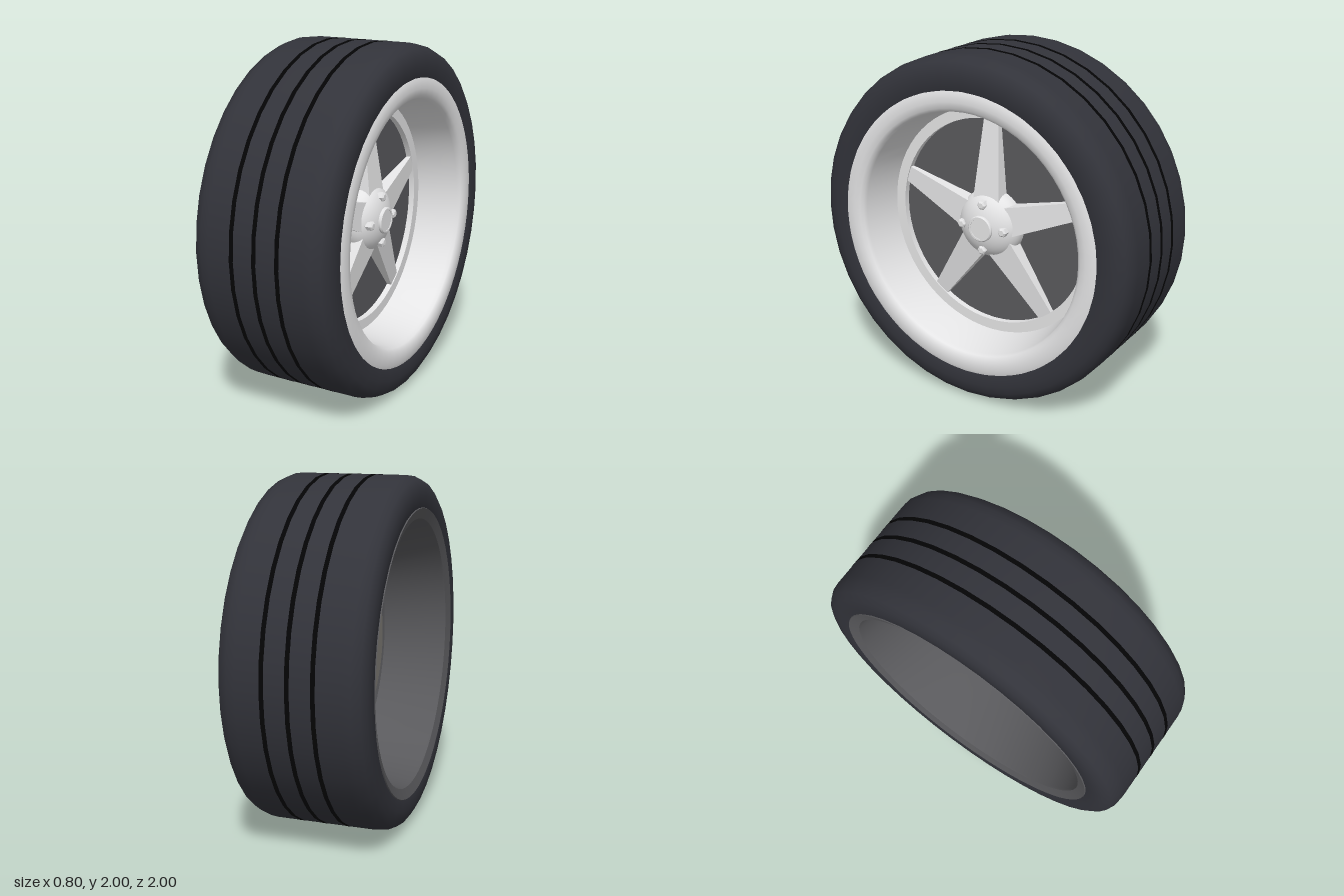
import * as THREE from 'three';
import { toCreasedNormals } from 'three/addons/utils/BufferGeometryUtils.js';
import { RoundedBoxGeometry } from 'three/addons/geometries/RoundedBoxGeometry.js';

const mat = (name, color) => new THREE.MeshStandardMaterial({ name, color });

export function createModel() {
  const rubber = mat('rubber', 0x32333a);
  const groove = mat('groove black', 0x040405);
  const silver = mat('silver', 0xe4e4e5);
  const dark = mat('dark metal', 0x59595c);
  const steel = mat('brake steel', 0x7d7a75);
  const caliperPaint = mat('caliper black', 0x2b2b2e);

  const model = new THREE.Group();
  model.name = 'wheel';
  const wheel = new THREE.Group();
  wheel.name = 'wheelAssembly';
  wheel.position.y = 1;
  model.add(wheel);

  const add = (name, geo, material, parent = wheel) => {
    const mesh = new THREE.Mesh(geo, material);
    mesh.name = name;
    parent.add(mesh);
    return mesh;
  };

  // Turned part about the x axis; the profile is a list of [radius, x]
  const turned = (name, profile, material, segments = 40, crease = 0.6) => {
    const geo = new THREE.LatheGeometry(profile.map(([r, x]) => new THREE.Vector2(r, x)), segments);
    geo.rotateZ(-Math.PI / 2);
    return add(name, toCreasedNormals(geo, crease), material);
  };

  // Tyre with rounded shoulders
  const half = [[1, 0.28], [0.995, 0.325], [0.973, 0.37], [0.935, 0.393], [0.89, 0.4], [0.83, 0.397], [0.8, 0.385]];
  const mirrored = half.map(([r, x]) => [r, -x]).reverse();
  turned('tyre', [...mirrored, ...half], rubber);

  // Tread grooves as thin black bands
  for (const x of [-0.135, 0, 0.135]) {
    turned('treadGroove', [[0.997, x - 0.012], [1.001, x - 0.012], [1.001, x + 0.012], [0.997, x + 0.012]], groove);
  }

  // Outer rim: rounded lip, deep barrel and the seat ring around the spokes
  turned('rimOuter', [[0.82, 0.393], [0.8, 0.4], [0.76, 0.402], [0.725, 0.396], [0.708, 0.383], [0.7, 0.36],
    [0.672, 0.115], [0.61, 0.115], [0.61, 0.07]], silver, 64, 0.75);

  // Inner rim: step, barrel and rear flange
  turned('rimInner', [[0.61, 0.03], [0.695, 0], [0.757, -0.37], [0.762, -0.38], [0.82, -0.4], [0.825, -0.39]], dark, 64);

  // Backing plate behind the spokes
  turned('backingPlate', [[0, 0.02], [0.615, 0.02], [0.615, 0.08], [0, 0.08]], dark, 64);

  // Brake disc, its centre and the caliper
  turned('brakeDisc', [[0, -0.055], [0.465, -0.055], [0.465, -0.01], [0, -0.01]], steel, 48);
  turned('brakeDiscCentre', [[0, -0.063], [0.16, -0.063], [0.16, -0.05], [0, -0.05]], dark, 32);
  const caliper = add('brakeCaliper', new RoundedBoxGeometry(0.17, 0.13, 0.27, 2, 0.02), caliperPaint);
  caliper.position.set(-0.085, 0.395, -0.03);
  caliper.rotation.x = -0.15;

  // Five tapered spokes, standing further out at the hub than at the rim
  const spokes = new THREE.Group();
  spokes.name = 'spokes';
  wheel.add(spokes);
  const spokeGeo = new THREE.BoxGeometry(1, 1, 1);
  const p = spokeGeo.attributes.position;
  for (let i = 0; i < p.count; i++) {
    const outer = p.getY(i) > 0;
    const front = p.getX(i) > 0;
    p.setXYZ(i,
      front ? (outer ? 0.108 : 0.17) : 0.06,
      outer ? 0.612 : 0.13,
      Math.sign(p.getZ(i)) * (outer ? 0.047 : 0.086));
  }
  spokeGeo.computeVertexNormals();
  for (let i = 0; i < 5; i++) {
    add('spoke', spokeGeo, silver, spokes).rotation.x = (i * 2 * Math.PI) / 5;
  }

  // Domed hub with a round centre cap
  const dome = [];
  for (let i = 0; i <= 10; i++) {
    const a = (i / 10) * (Math.PI / 2);
    dome.push([i === 10 ? 0 : 0.201 * Math.cos(a), 0.105 + 0.125 * Math.sin(a)]);
  }
  turned('hub', [[0.201, 0.07], ...dome], silver, 40);
  turned('centreCap', [[0.076, 0.205], [0.076, 0.23], [0.07, 0.237], [0.06, 0.237], [0.06, 0.233], [0, 0.233]], silver, 32);

  // Four wheel nuts with bevelled ends
  const nutProfile = [[0.027, -0.03], [0.027, 0.014], [0.017, 0.022], [0, 0.022]];
  for (let i = 0; i < 4; i++) {
    const a = (i * Math.PI) / 2;
    const nut = turned('wheelNut', nutProfile, silver, 6, 0.4);
    nut.position.set(0.2, 0.135 * Math.cos(a), 0.135 * Math.sin(a));
  }

  return model;
}
